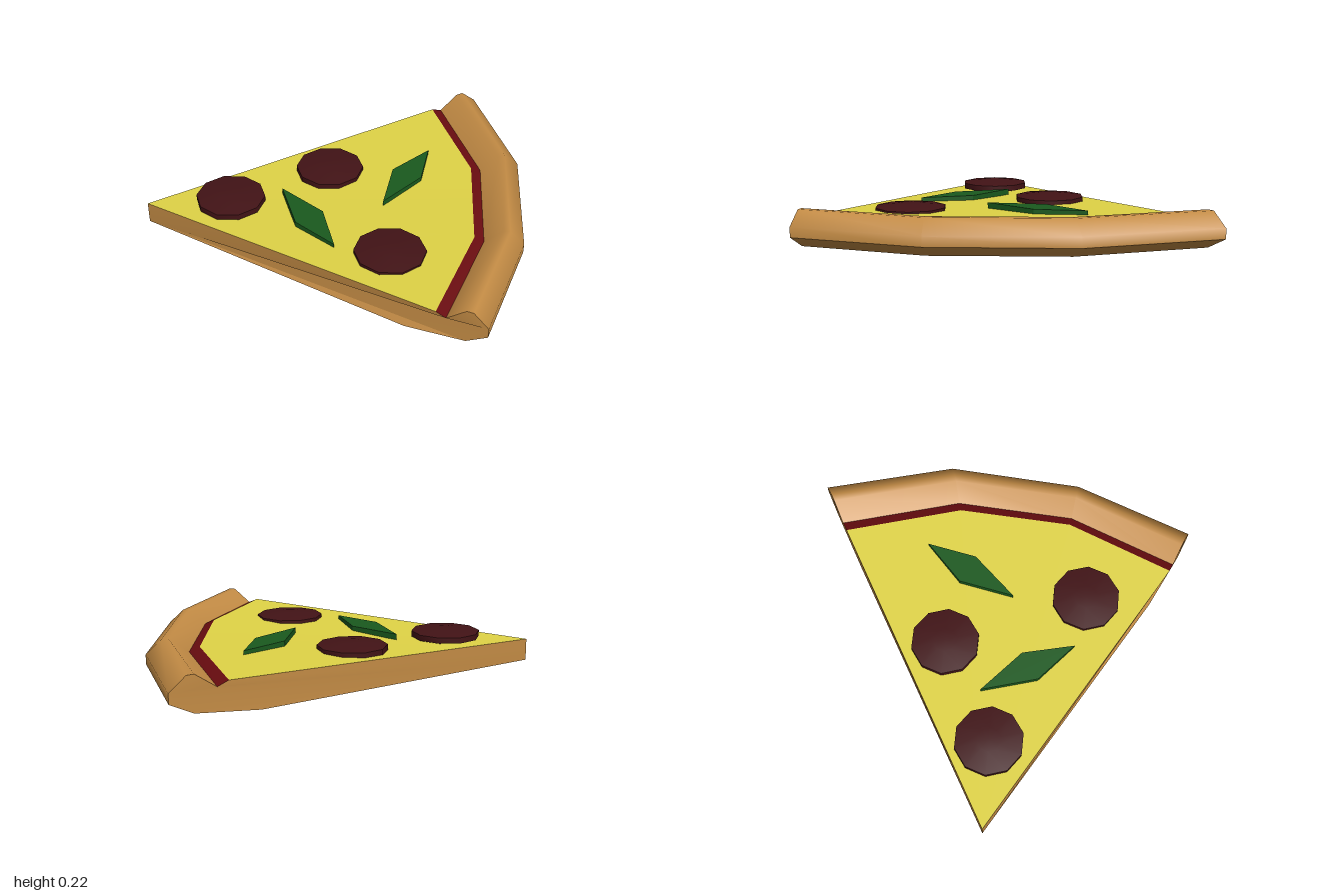
import * as THREE from 'three';
import { toCreasedNormals } from 'three/addons/utils/BufferGeometryUtils.js';

const TIP = [-0.99, 0.04];
// For each radial section, [x, z] of the cheese edge and of the crust's outer edge
const RAYS = [
  { edge: [0.545, -0.855], rim: [0.8, -1.0] },
  { edge: [0.725, -0.25], rim: [0.985, -0.325] },
  { edge: [0.695, 0.35], rim: [0.94, 0.38] },
  { edge: [0.475, 0.9], rim: [0.71, 0.995] },
];
const EDGE = 0.865;
// Sections as [distance from tip, height]
const CRUST = [[0, 0], [0.785, 0], [0.945, 0.04], [1, 0.1], [1, 0.15], [0.96, 0.22], [0.942, 0.22], [0.892, 0.145]];
const SAUCE = [[0.892, 0.145], [EDGE, 0.167]];
const CHEESE = [[EDGE, 0.167], [0, 0.115]];

function pointOn(ray, [f, y]) {
  const [a, b, t] = f <= EDGE
    ? [TIP, ray.edge, f / EDGE]
    : [ray.edge, ray.rim, (f - EDGE) / (1 - EDGE)];
  return new THREE.Vector3(a[0] + (b[0] - a[0]) * t, y, a[1] + (b[1] - a[1]) * t);
}

function pushTriangle(out, a, b, c) {
  if (a.equals(b) || b.equals(c) || c.equals(a)) return;
  for (const p of [a, b, c]) out.push(p.x, p.y, p.z);
}

// Sweep a section across the rays
function sweep(section) {
  const out = [];
  for (let i = 0; i < RAYS.length - 1; i++) {
    for (let j = 0; j < section.length - 1; j++) {
      const a = pointOn(RAYS[i], section[j]), b = pointOn(RAYS[i], section[j + 1]);
      const c = pointOn(RAYS[i + 1], section[j + 1]), d = pointOn(RAYS[i + 1], section[j]);
      pushTriangle(out, a, b, c);
      pushTriangle(out, a, c, d);
    }
  }
  return out;
}

// Cut faces on both sides of the slice
function cutFaces() {
  const out = [];
  const outline = [...CRUST, SAUCE[1], CHEESE[1]];
  const faces = THREE.ShapeUtils.triangulateShape(outline.map(([f, y]) => new THREE.Vector2(f, y)), []);
  const first = outline.map((p) => pointOn(RAYS[0], p));
  const last = outline.map((p) => pointOn(RAYS[3], p));
  for (const [a, b, c] of faces) {
    pushTriangle(out, first[c], first[b], first[a]);
    pushTriangle(out, last[a], last[b], last[c]);
  }
  return out;
}

function toGeometry(positions, crease) {
  const g = new THREE.BufferGeometry();
  g.setAttribute('position', new THREE.Float32BufferAttribute(positions, 3));
  g.computeVertexNormals();
  return toCreasedNormals(g, crease);
}

export function createModel() {
  const group = new THREE.Group();
  const material = (color) => new THREE.MeshStandardMaterial({ color });
  const add = (name, geometry, mat) => {
    const mesh = new THREE.Mesh(geometry, mat);
    mesh.name = name;
    group.add(mesh);
    return mesh;
  };

  // Dough, sauce and cheese
  const dough = material(0xc48c45);
  add('crust', toGeometry(sweep(CRUST), 1.0), dough);
  add('cutSides', toGeometry(cutFaces(), 0.3), dough);
  add('sauce', toGeometry(sweep(SAUCE), 0.3), material(0x6a0c10));
  add('cheese', toGeometry(sweep(CHEESE), 0.3), material(0xe0d446));

  // Ten-sided, slightly domed pepperoni
  const disc = toCreasedNormals(new THREE.LatheGeometry(
    [[0, 0], [0.18, 0], [0.18, 0.03], [0.06, 0.045], [0, 0.045]].map(([r, y]) => new THREE.Vector2(r, y)), 10), 0.7);
  const meat = material(0x421316);
  [[-0.55, 0.03], [-0.04, -0.25], [0.275, 0.465]].forEach(([x, z], i) => {
    const mesh = add('pepperoni' + (i + 1), disc, meat);
    mesh.position.set(x, 0.14, z);
    mesh.rotation.y = Math.PI / 2;
  });

  // Diamond-shaped basil leaves, each with its top height
  const green = material(0x1a5a1e);
  [
    { top: 0.182, points: [[0.5, -0.4], [0.45, -0.14], [0.245, 0.08], [0.3, -0.21]] },
    { top: 0.168, points: [[-0.285, -0.04], [-0.065, 0.155], [0, 0.425], [-0.2, 0.25]] },
  ].forEach(({ top, points }, i) => {
    const shape = new THREE.Shape(points.map(([x, z]) => new THREE.Vector2(x, z)));
    const leaf = new THREE.ExtrudeGeometry(shape, { depth: 0.03, bevelEnabled: false });
    leaf.rotateX(Math.PI / 2);
    add('basilLeaf' + (i + 1), leaf, green).position.y = top;
  });

  return group;
}
